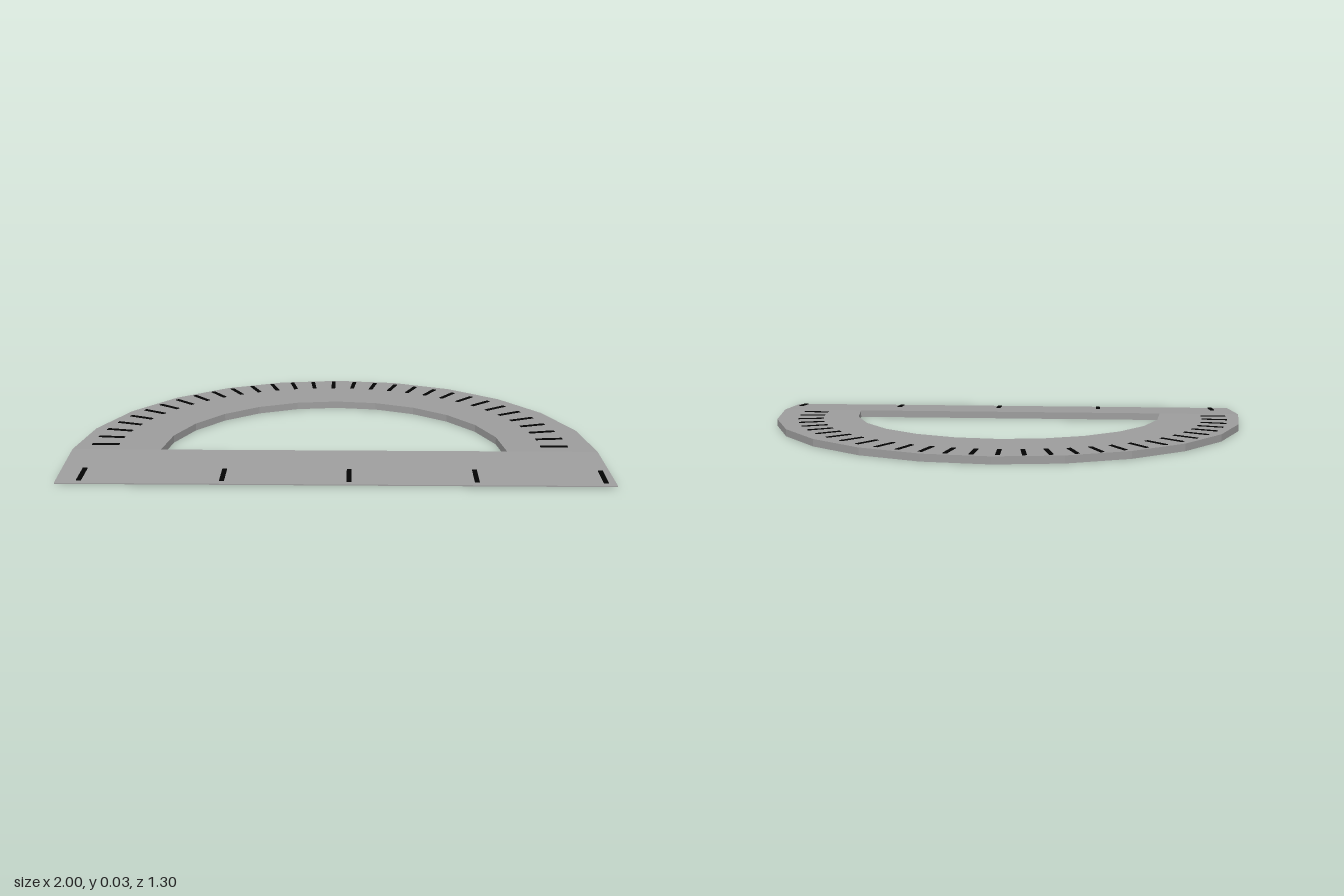
import * as THREE from 'three';

const T = 0.029;       // thickness
const SEAM = 0.342;    // z where the arch meets the ruler
const FRONT = 0.65;    // z of the ruler's thin edge
const TIP_TOP = 0.008, TIP_BOTTOM = 0.004;

export function createModel() {
  const model = new THREE.Group();
  const body = new THREE.MeshStandardMaterial({ color: 0x9d9d9d, flatShading: true });
  const ink = new THREE.MeshStandardMaterial({ color: 0x030303 });

  const add = (name, geometry, material, parent = model) => {
    const mesh = new THREE.Mesh(geometry, material);
    mesh.name = name;
    parent.add(mesh);
    return mesh;
  };

  // Arch: half ring of 12 straight segments
  const arc = (cx, r) => Array.from({ length: 13 }, (_, i) => {
    const a = (i * Math.PI) / 12;
    return new THREE.Vector2(cx + r * Math.cos(a), r * Math.sin(a));
  });
  const ring = new THREE.Shape([...arc(-0.005, 0.995), ...arc(-0.007, 0.656).reverse()]);
  const archGeo = new THREE.ExtrudeGeometry(ring, { depth: T, bevelEnabled: false });
  archGeo.rotateX(-Math.PI / 2).translate(0, 0, SEAM);
  add('arch', archGeo, body);

  // Ruler: bar tapering to a thin front edge
  const barGeo = new THREE.BoxGeometry(1.99, T, FRONT - SEAM);
  barGeo.translate(-0.005, T / 2, (SEAM + FRONT) / 2);
  const p = barGeo.attributes.position;
  for (let i = 0; i < p.count; i++) {
    if (p.getZ(i) < (SEAM + FRONT) / 2) continue;
    p.setY(i, p.getY(i) > T / 2 ? TIP_TOP : TIP_BOTTOM);
    p.setX(i, p.getX(i) > 0 ? 1 : -0.993);
  }
  barGeo.computeVertexNormals();
  add('rulerBar', barGeo, body);

  // Angle marks: one every 6 degrees round the arch
  const angleMarks = new THREE.Group();
  angleMarks.name = 'angleMarks';
  model.add(angleMarks);
  const angleMarkGeo = new THREE.BoxGeometry(0.105, 0.004, 0.017);
  for (let i = 0; i <= 30; i++) {
    const a = (i * Math.PI) / 30, r = 0.86;
    const mark = add('angleMark', angleMarkGeo, ink, angleMarks);
    mark.position.set(-0.025 + r * Math.cos(a), T, 0.283 - r * Math.sin(a));
    mark.rotation.y = a;
  }

  // Length marks lying on the sloped ruler
  const lengthMarks = new THREE.Group();
  lengthMarks.name = 'lengthMarks';
  model.add(lengthMarks);
  const lengthMarkGeo = new THREE.BoxGeometry(0.017, 0.007, 0.105);
  const slope = (T - TIP_TOP) / (FRONT - SEAM);
  const z = 0.575;
  for (const x of [-0.91, -0.4, 0.053, 0.508, 0.963]) {
    const mark = add('lengthMark', lengthMarkGeo, ink, lengthMarks);
    mark.position.set(x, T - slope * (z - SEAM), z);
    mark.rotation.x = Math.atan(slope);
  }
  return model;
}
